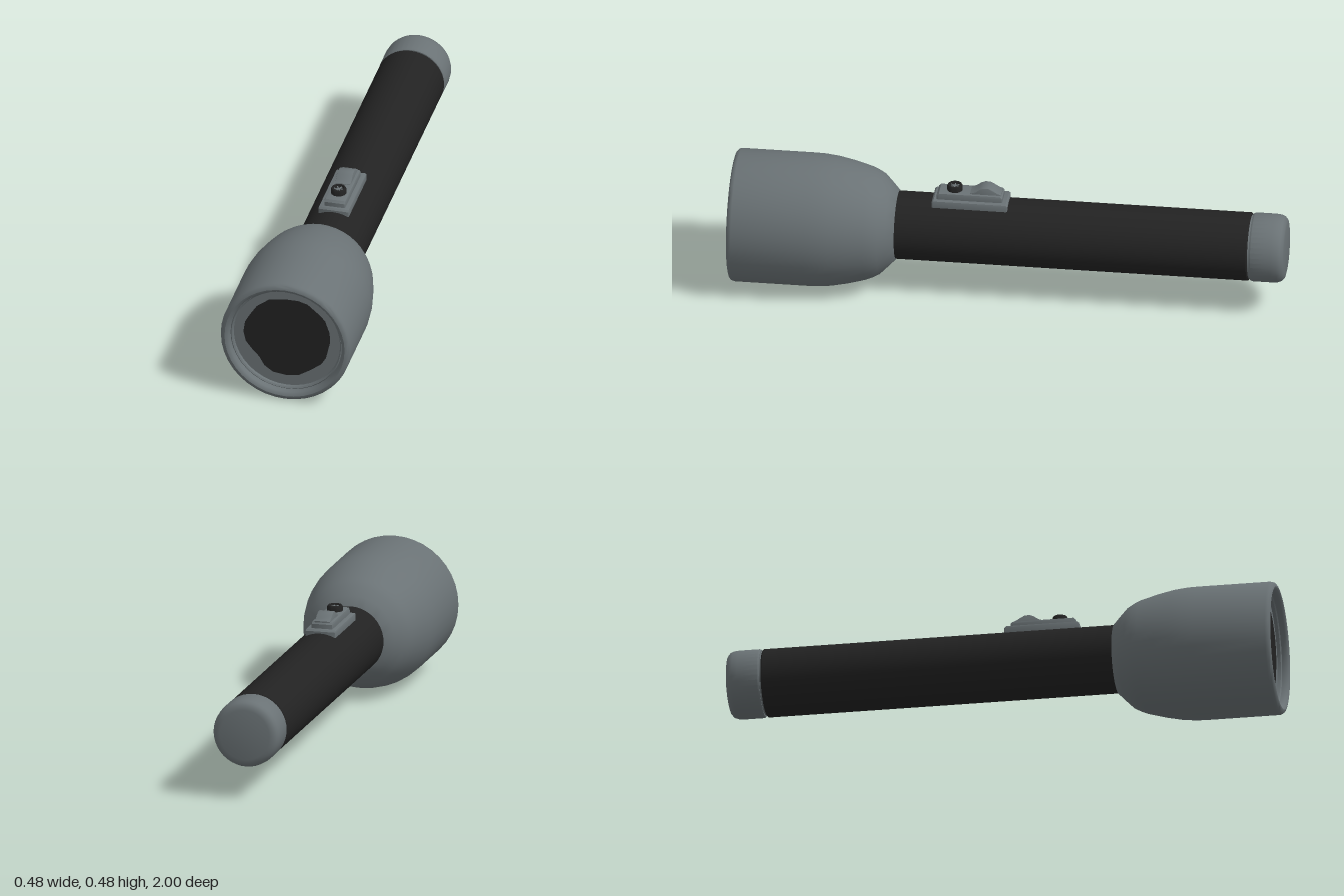
import * as THREE from 'three';
import { toCreasedNormals } from 'three/addons/utils/BufferGeometryUtils.js';

const AXIS_Y = 0.24;

export function createModel() {
  const root = new THREE.Group();
  root.name = 'flashlight';
  const grey = new THREE.MeshStandardMaterial({ color: 0x6a7275 });
  grey.name = 'grey plastic';
  const black = new THREE.MeshStandardMaterial({ color: 0x222222 });
  black.name = 'black rubber';

  function add(name, geometry, material, x = 0, y = 0, z = 0) {
    const mesh = new THREE.Mesh(geometry, material);
    mesh.name = name;
    mesh.position.set(x, y, z);
    root.add(mesh);
    return mesh;
  }

  // Turned part along z; the profile is [radius, z] from back to front
  function turned(name, profile, material, segments = 40) {
    const pts = profile.map(([r, z]) => new THREE.Vector2(r, z));
    const geo = new THREE.LatheGeometry(pts, segments).rotateX(Math.PI / 2);
    return add(name, toCreasedNormals(geo, 0.6), material, 0, AXIS_Y, 0);
  }

  // Side outline [z, y] extruded across x
  function ridge(name, outline, width, material, bevel = 0) {
    const shape = new THREE.Shape(outline.map(([z, y]) => new THREE.Vector2(-z, y)));
    const geo = new THREE.ExtrudeGeometry(shape, {
      depth: width - 2 * bevel, bevelEnabled: bevel > 0,
      bevelSize: bevel, bevelThickness: bevel, bevelOffset: -bevel, bevelSegments: 2,
    });
    geo.translate(0, 0, bevel - width / 2).rotateY(Math.PI / 2);
    return add(name, toCreasedNormals(geo, 0.6), material);
  }

  // Grip tube and the narrow neck before the tail cap
  turned('grip', [[0, -0.87], [0.119, -0.87], [0.123, -0.866], [0.123, 0.42], [0, 0.42]], black);
  turned('tailNeck', [[0.115, -0.885], [0.115, -0.865]], grey);
  turned('tailCap', [
    [0, -1], [0.092, -1], [0.106, -0.997], [0.117, -0.988], [0.122, -0.975],
    [0.124, -0.955], [0.124, -0.882], [0.12, -0.876], [0, -0.876],
  ], grey);

  // Flared head, rounded rim, stepped bezel and recessed lens
  turned('head', [
    [0.118, 0.405], [0.126, 0.407], [0.155, 0.435], [0.182, 0.462], [0.196, 0.488],
    [0.205, 0.51], [0.222, 0.573], [0.234, 0.632], [0.239, 0.68], [0.24, 0.72],
    [0.24, 0.982], [0.237, 0.992], [0.23, 0.998], [0.222, 1], [0.214, 0.997],
    [0.209, 0.99], [0.207, 0.98], [0.207, 0.97], [0.203, 0.974], [0.198, 0.97],
    [0.198, 0.958], [0, 0.958],
  ], grey);

  // Dark irregular patch on the lens
  const patchPoints = [
    [0.04, 0.4], [0.075, 0.39], [0.12, 0.352], [0.14, 0.33], [0.157, 0.28], [0.158, 0.24],
    [0.143, 0.175], [0.125, 0.146], [0.083, 0.115], [0.043, 0.09], [-0.005, 0.083],
    [-0.053, 0.09], [-0.085, 0.113], [-0.103, 0.146], [-0.13, 0.175], [-0.153, 0.205],
    [-0.162, 0.245], [-0.156, 0.285], [-0.138, 0.318], [-0.112, 0.357], [-0.068, 0.39], [-0.005, 0.4],
  ].map(([x, y]) => new THREE.Vector2(x, y)).reverse();
  add('lensPatch', new THREE.ShapeGeometry(new THREE.Shape(patchPoints)), black, 0, 0, 0.96);

  // Switch: base plate, raised housing and thumb slider
  ridge('switchBase', [[0.005, 0.335], [0.278, 0.335], [0.278, 0.37], [0.272, 0.376], [0.011, 0.376], [0.005, 0.37]], 0.112, grey, 0.004);
  ridge('switchHousing', [[0.025, 0.36], [0.262, 0.36], [0.262, 0.392], [0.254, 0.4], [0.033, 0.4], [0.025, 0.392]], 0.078, grey, 0.005);
  ridge('switchSlider', [
    [0.03, 0.39], [0.142, 0.39], [0.142, 0.402], [0.125, 0.408], [0.108, 0.42],
    [0.094, 0.426], [0.076, 0.426], [0.06, 0.418], [0.044, 0.408], [0.03, 0.402],
  ], 0.058, grey, 0.003);

  // Round push button with a raised rim and a ribbed top
  const buttonProfile = [[0.028, 0.385], [0.028, 0.416], [0.025, 0.421], [0.02, 0.421], [0.018, 0.414], [0, 0.414]]
    .map(([r, y]) => new THREE.Vector2(r, y));
  add('pushButton', toCreasedNormals(new THREE.LatheGeometry(buttonProfile, 24), 0.6), black, 0, 0, 0.2);
  for (let i = 0; i < 3; i++) {
    const rib = add('buttonRib', new THREE.BoxGeometry(0.034, 0.004, 0.004), grey, 0, 0.4145, 0.2);
    rib.rotation.y = (i * Math.PI) / 3;
  }
  return root;
}
